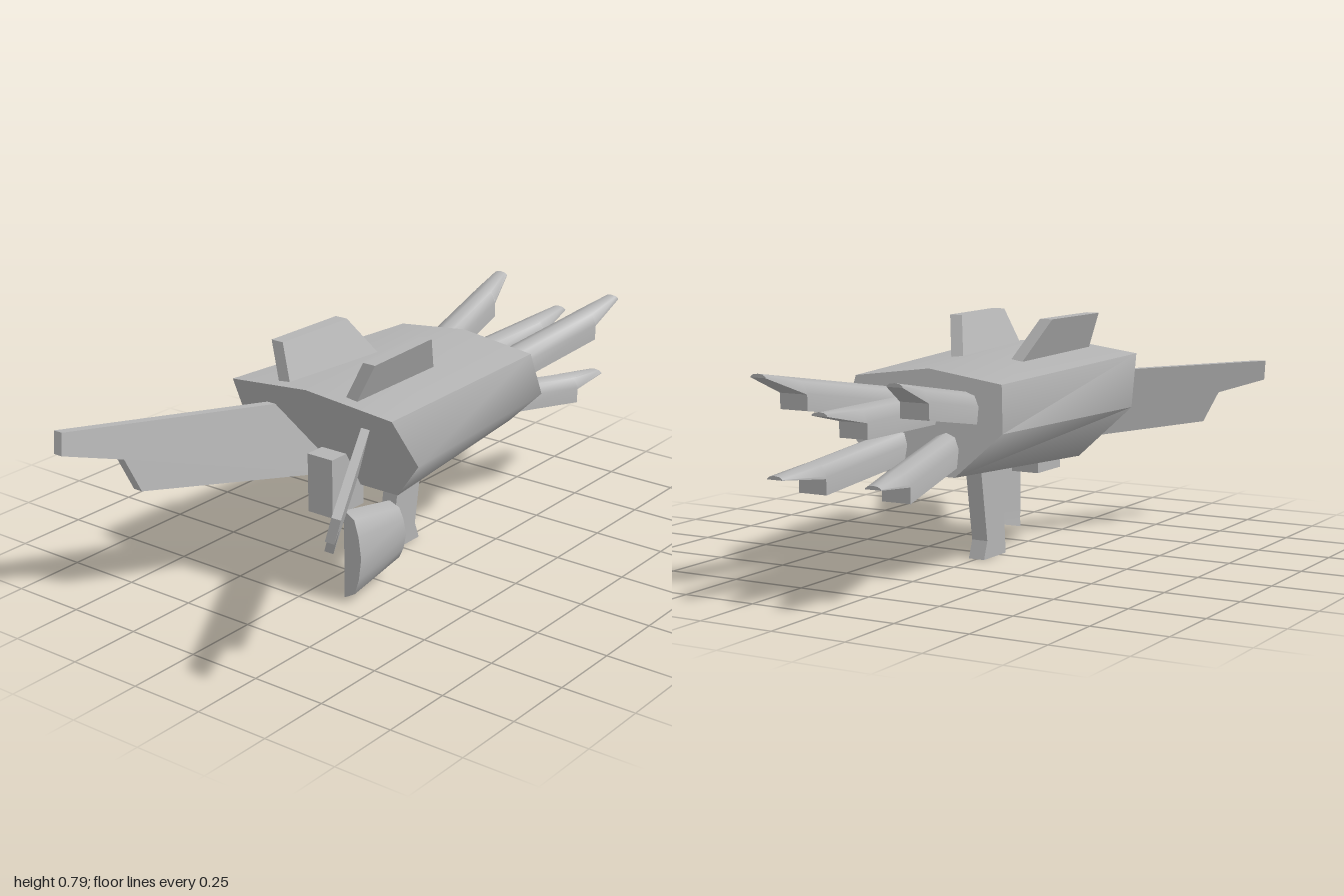
import * as THREE from 'three';
import { toCreasedNormals } from 'three/addons/utils/BufferGeometryUtils.js';

// Joins rings of [x, y, z] points into a closed solid, facing outwards.
function loft(rings) {
  const n = rings[0].length;
  const points = rings.flat();
  const index = [];
  for (let r = 0; r < rings.length - 1; r++) {
    for (let i = 0; i < n; i++) {
      const a = r * n + i, b = r * n + (i + 1) % n;
      index.push(a, b, a + n, b, b + n, a + n);
    }
  }
  const last = (rings.length - 1) * n;
  for (let i = 1; i < n - 1; i++) {
    index.push(0, i + 1, i, last, last + i, last + i + 1);
  }
  // Signed volume tells whether the corners must be reversed
  const v = points.map((p) => new THREE.Vector3(...p));
  const c = v.reduce((s, p) => s.add(p), new THREE.Vector3()).divideScalar(v.length);
  v.forEach((p) => p.sub(c));
  let volume = 0;
  for (let i = 0; i < index.length; i += 3) {
    volume += v[index[i]].dot(v[index[i + 1]].clone().cross(v[index[i + 2]]));
  }
  if (volume < 0) index.reverse();
  const geo = new THREE.BufferGeometry();
  geo.setAttribute('position', new THREE.Float32BufferAttribute(points.flat(), 3));
  geo.setIndex(index);
  return toCreasedNormals(geo, 1.0);
}

// Side outline extruded across z, then sheared so that it leans by offset(x, y).
function plate(outline, thickness, offset = () => 0) {
  const shape = new THREE.Shape(outline.map(([x, y]) => new THREE.Vector2(x, y)));
  const geo = new THREE.ExtrudeGeometry(shape, { depth: thickness, bevelEnabled: false });
  geo.translate(0, 0, -thickness / 2);
  const p = geo.attributes.position;
  for (let i = 0; i < p.count; i++) p.setZ(i, p.getZ(i) + offset(p.getX(i), p.getY(i)));
  geo.computeVertexNormals();
  return geo;
}

// Barrel with a stepped, pointed muzzle; rise and spread are slopes along x.
function barrel(y0, z0, rise, spread, length) {
  const ring = (x, bottom, middle, top, half) => [
    [bottom, -half], [middle, -half], [middle + (top - middle) * 0.75, -half * 0.65], [top, 0],
    [middle + (top - middle) * 0.75, half * 0.65], [middle, half], [bottom, half],
  ].map(([y, z]) => [x, y0 + y + rise * (x - 0.42), z0 + z + spread * (x - 0.42)]);
  return loft([
    ring(0.38, 0, 0.055, 0.1, 0.05),
    ring(0.825, 0, 0.055, 0.1, 0.05),
    ring(0.826, 0.05, 0.058, 0.1, 0.05),
    ring(length, 0.088, 0.091, 0.1, 0.027),
  ]);
}

export function createModel() {
  const group = new THREE.Group();
  const grey = new THREE.MeshStandardMaterial({ color: 0xb4b4b4 });
  grey.name = 'grey';
  const add = (name, geo) => {
    const mesh = new THREE.Mesh(geo, grey);
    mesh.name = name;
    group.add(mesh);
  };

  // Tapered body with slanted ends
  const section = (half, xOf) => [
    ...half,
    ...half.slice(1).reverse().map(([z, y]) => [-z, y]),
  ].map(([z, y]) => [xOf(y), y, z]);
  add('body', loft([
    section([[0, 0.69], [0.32, 0.652], [0.35, 0.48], [0.2, 0.315]], (y) => -0.45 + (0.69 - y) * 0.56),
    section([[0, 0.662], [0.268, 0.627], [0.292, 0.48], [0.142, 0.338]], (y) => 0.4 + (0.662 - y) * 0.246),
  ]));

  // Barrels
  add('centreBarrel', barrel(0.493, 0, 0, 0, 1));
  for (const s of [1, -1]) {
    const side = s > 0 ? 'front' : 'back';
    add(side + 'UpperBarrel', barrel(0.5, s * 0.145, 0.16, s * 0.17, 0.97));
    add(side + 'LowerBarrel', barrel(0.375, s * 0.088, -0.15, s * 0.15, 0.985));

    // Swept tail wings, leaning outwards
    add(side + 'Wing', plate(
      [[-0.983, 0.588], [-1, 0.518], [-0.84, 0.482], [-0.815, 0.378], [-0.3, 0.35], [-0.3, 0.588]],
      0.034,
      (x, y) => s * (0.55 - 0.607 * (x + 0.985) + 0.3 * (y - 0.588)),
    ));

    // Top fins
    add(side + 'Fin', plate(
      [[-0.405, 0.61], [-0.365, 0.79], [-0.055, 0.79], [0.07, 0.61]],
      0.046,
      (x, y) => s * (0.115 + 0.42 * (y - 0.66) - 0.04 * x),
    ));
  }

  // Grip
  add('grip', plate(
    [[-0.04, 0], [0.105, 0], [0.083, 0.06], [0.135, 0.37], [0.012, 0.37], [-0.03, 0.12]], 0.058));

  // Mount block under the tail
  const mount = new THREE.BoxGeometry(0.16, 0.2, 0.1);
  mount.translate(-0.305, 0.345, 0);
  add('mount', mount);

  // Bulging hand shield: flat back, rounded outer face
  const shieldRow = (v, inset, z) => [
    [-0.43 + inset, 0.01 + 0.3 * v, z],
    [-0.195 - inset, 0.06 + 0.205 * v, z],
  ];
  const shieldRing = (v) => [
    ...shieldRow(v, 0, 0.132),
    ...shieldRow(v, 0, 0.165 + 0.035 * Math.sin(Math.PI * v)).reverse(),
  ];
  add('shield', loft([
    [...shieldRow(0, 0, 0.131), ...shieldRow(0, 0, 0.135).reverse()],
    ...[0.07, 0.25, 0.5, 0.75, 0.93].map(shieldRing),
    [...shieldRow(1, 0, 0.131), ...shieldRow(1, 0, 0.135).reverse()],
  ]));

  return group;
}
